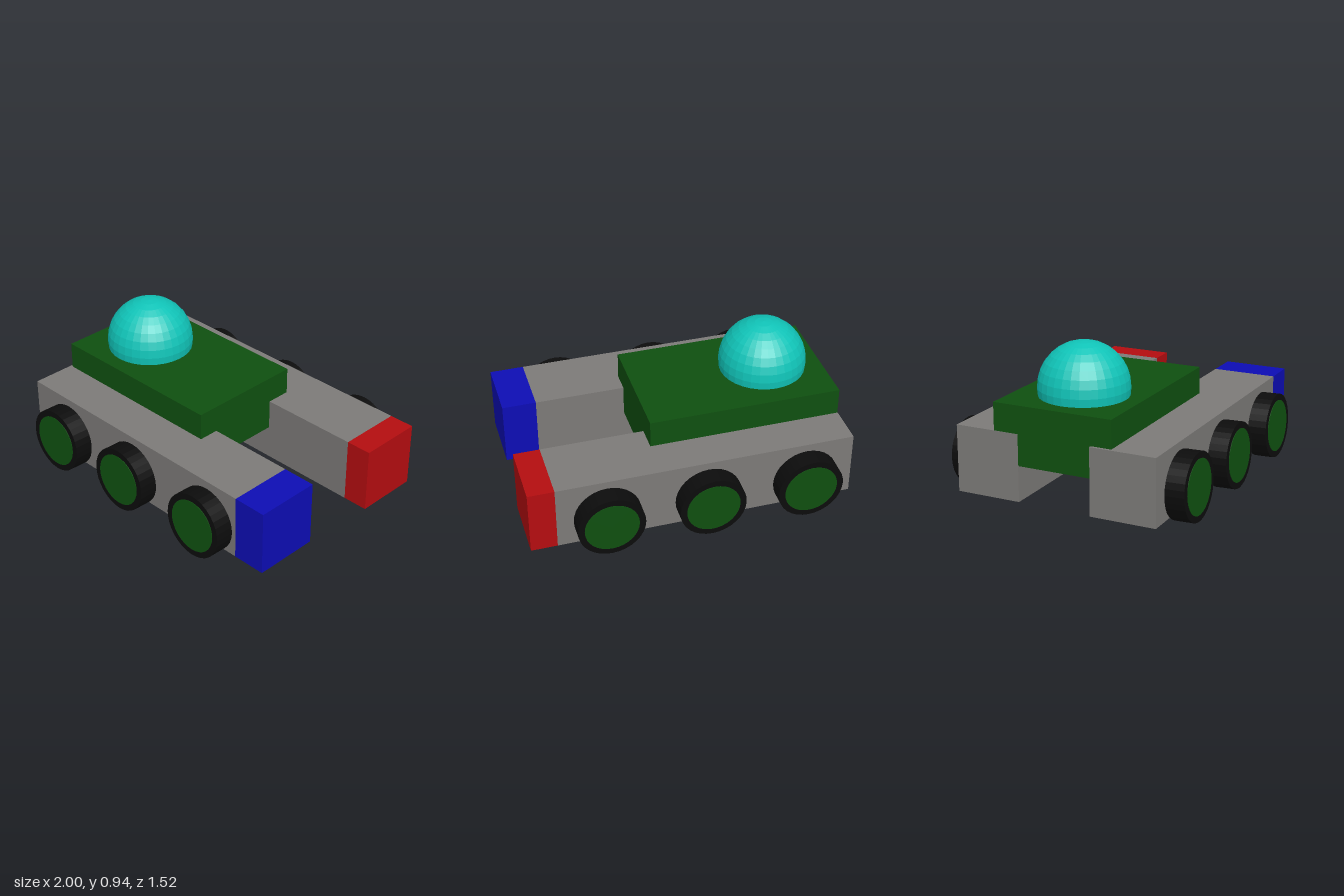
import * as THREE from 'three';

const paint = (color) => new THREE.MeshStandardMaterial({ color, flatShading: true });

export function createModel() {
  const model = new THREE.Group();
  model.name = 'sixWheeledRover';

  const grey = paint(0x7c7a78);
  const green = paint(0x0f5010);
  const black = paint(0x0c0c0c);
  const teal = paint(0x10c4b8);
  const blue = paint(0x0d0db4);
  const red = paint(0xb40d10);

  // Box given by its lower and upper limits on each axis
  function box(name, material, [x0, x1], [y0, y1], [z0, z1]) {
    const mesh = new THREE.Mesh(new THREE.BoxGeometry(x1 - x0, y1 - y0, z1 - z0), material);
    mesh.position.set((x0 + x1) / 2, (y0 + y1) / 2, (z0 + z1) / 2);
    mesh.name = name;
    model.add(mesh);
  }

  // Side beams with coloured end blocks
  const beamY = [0.05, 0.457];
  const frontZ = [0.227, 0.632];
  const backZ = [-0.643, -0.238];
  box('frontBeam', grey, [-1, 0.765], beamY, frontZ);
  box('frontBeamEnd', blue, [0.765, 0.975], beamY, frontZ);
  box('backBeam', grey, [-0.985, 0.84], beamY, backZ);
  box('backBeamEnd', red, [0.84, 1], beamY, backZ);

  // Body bridging the beams
  box('body', green, [-0.983, 0.205], [0.267, 0.626], [-0.393, 0.355]);

  // Dome sunk into the body
  const dome = new THREE.Mesh(new THREE.SphereGeometry(0.271, 32, 16), teal);
  dome.position.set(-0.623, 0.674, -0.004);
  dome.name = 'dome';
  model.add(dome);

  // Wheels: tyre plus a nearly flush hub on the outer face, all leaning slightly
  const tyreGeometry = new THREE.CylinderGeometry(0.203, 0.203, 0.122, 32).rotateX(Math.PI / 2);
  const hubGeometry = new THREE.CylinderGeometry(0.164, 0.164, 0.1, 32).rotateX(Math.PI / 2);
  function wheel(name, x, z) {
    const group = new THREE.Group();
    group.name = name;
    const tyre = new THREE.Mesh(tyreGeometry, black);
    tyre.name = 'tyre';
    const hub = new THREE.Mesh(hubGeometry, green);
    hub.name = 'hub';
    hub.position.z = Math.sign(z) * 0.014;
    group.add(tyre, hub);
    group.position.set(x, 0.206, z);
    group.rotation.x = -0.03;
    model.add(group);
  }
  [-0.69, -0.1, 0.535].forEach((x, i) => wheel(`frontWheel${i + 1}`, x, 0.69));
  [-0.69, -0.08, 0.535].forEach((x, i) => wheel(`backWheel${i + 1}`, x, -0.688));

  return model;
}
